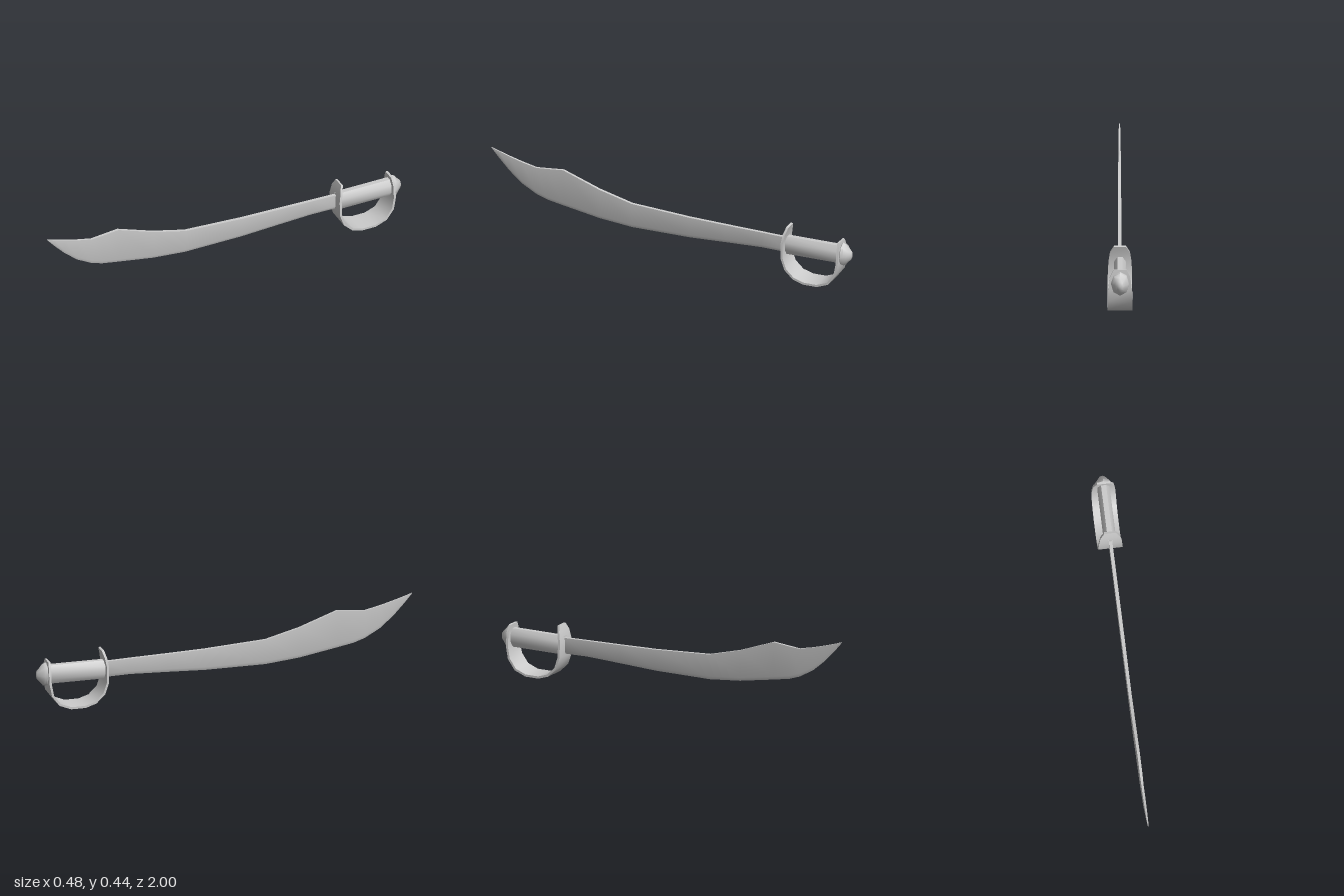
import * as THREE from 'three';
import { toCreasedNormals } from 'three/addons/utils/BufferGeometryUtils.js';

const YAW = -0.213;            // the sword lies turned about the vertical axis
const STRETCH = 1 / Math.cos(YAW); // depth in the turned frame
const AXIS_Y = 0.187;          // height of the grip axis

const material = new THREE.MeshStandardMaterial({ color: 0xcccccc });

// Skin a list of equal-sized rings (counter-clockwise about the travel direction) and cap both ends
function loft(rings, crease) {
  const n = rings[0].length;
  const last = (rings.length - 1) * n;
  const index = [];
  for (let i = 0; i < rings.length - 1; i++) {
    for (let j = 0; j < n; j++) {
      const a = i * n + j, b = i * n + (j + 1) % n;
      index.push(a, b, b + n, a, b + n, a + n);
    }
  }
  for (let j = 1; j < n - 1; j++) {
    index.push(0, j + 1, j, last, last + j, last + j + 1);
  }
  const geometry = new THREE.BufferGeometry();
  geometry.setAttribute('position', new THREE.Float32BufferAttribute(rings.flat(2), 3));
  geometry.setIndex(index);
  return toCreasedNormals(geometry, crease);
}

function addMesh(parent, name, geometry) {
  const mesh = new THREE.Mesh(geometry, material);
  mesh.name = name;
  parent.add(mesh);
  return mesh;
}

// Curved blade: flat back, parallel cheeks and a narrow bevel down to the cutting edge
function bladeGeometry() {
  // depth, edge height, back height, half thickness
  const stations = [
    [-0.64, 0.140, 0.227, 0.009],
    [-0.50, 0.143, 0.231, 0.009],
    [-0.30, 0.135, 0.236, 0.009],
    [-0.10, 0.126, 0.242, 0.009],
    [0.22, 0.126, 0.262, 0.008],
    [0.40, 0.144, 0.310, 0.008],
    [0.60, 0.180, 0.384, 0.007],
    [0.69, 0.197, 0.375, 0.007],
    [0.75, 0.218, 0.370, 0.006],
    [0.83, 0.264, 0.388, 0.006],
    [0.90, 0.325, 0.408, 0.005],
    [0.96, 0.390, 0.427, 0.004],
    [1.00, 0.438, 0.441, 0.002],
  ];
  return loft(stations.map(([depth, edge, back, t]) => {
    const z = depth * STRETCH;
    const bevel = edge + Math.min(0.018, (back - edge) * 0.3);
    return [[0, edge, z], [t, bevel, z], [t, back, z], [-t, back, z], [-t, bevel, z]];
  }), 0.6);
}

// Guard: one broad strip bent from the cross plate, under the hand, up to the pommel
function guardGeometry() {
  // depth, height, half width
  const path = [
    [-0.654, 0.298, 0.031],
    [-0.643, 0.262, 0.052],
    [-0.634, 0.210, 0.060],
    [-0.635, 0.130, 0.064],
    [-0.655, 0.070, 0.064],
    [-0.700, 0.026, 0.064],
    [-0.755, 0.008, 0.064],
    [-0.830, 0.008, 0.064],
    [-0.890, 0.032, 0.064],
    [-0.928, 0.085, 0.064],
    [-0.940, 0.150, 0.062],
    [-0.941, 0.220, 0.054],
    [-0.938, 0.261, 0.034],
  ];
  const half = 0.006;
  return loft(path.map(([depth, y, w], i) => {
    const p = path[Math.max(i - 1, 0)], q = path[Math.min(i + 1, path.length - 1)];
    const tangent = new THREE.Vector2((q[0] - p[0]) * STRETCH, q[1] - p[1]).normalize();
    const z = depth * STRETCH;
    return [[-w, -half], [w, -half], [w, half], [-w, half]]
      .map(([u, v]) => [u, y + v * tangent.x, z - v * tangent.y]);
  }), 0.8);
}

// Eight-sided grip, taller than wide
function gripGeometry() {
  const front = -0.632 * STRETCH, rear = -0.945 * STRETCH;
  const geometry = new THREE.CylinderGeometry(0.054, 0.054, front - rear, 8);
  geometry.rotateY(Math.PI / 8);
  geometry.rotateX(Math.PI / 2);
  geometry.scale(0.64, 1, 1);
  geometry.translate(0, AXIS_Y, (front + rear) / 2);
  return toCreasedNormals(geometry, 0.8);
}

// Faceted pommel cap, turned around the grip axis
function pommelGeometry() {
  const profile = [[0, 0], [0.052, 0], [0.065, 0.014], [0.060, 0.028], [0.040, 0.044], [0.022, 0.061], [0, 0.065]]
    .map(([r, h]) => new THREE.Vector2(r, h));
  const geometry = new THREE.LatheGeometry(profile, 8);
  geometry.rotateX(-Math.PI / 2);
  geometry.scale(0.74, 1, 1);
  geometry.translate(0, AXIS_Y, -1 * STRETCH + 0.065);
  return toCreasedNormals(geometry, 0.8);
}

export function createModel() {
  const model = new THREE.Group();
  model.name = 'cutlass';

  const sword = new THREE.Group();
  sword.name = 'sword';
  sword.position.x = -0.024;
  sword.rotation.y = YAW;
  model.add(sword);

  addMesh(sword, 'blade', bladeGeometry());
  addMesh(sword, 'handGuard', guardGeometry());
  addMesh(sword, 'grip', gripGeometry());
  addMesh(sword, 'pommel', pommelGeometry());
  return model;
}
